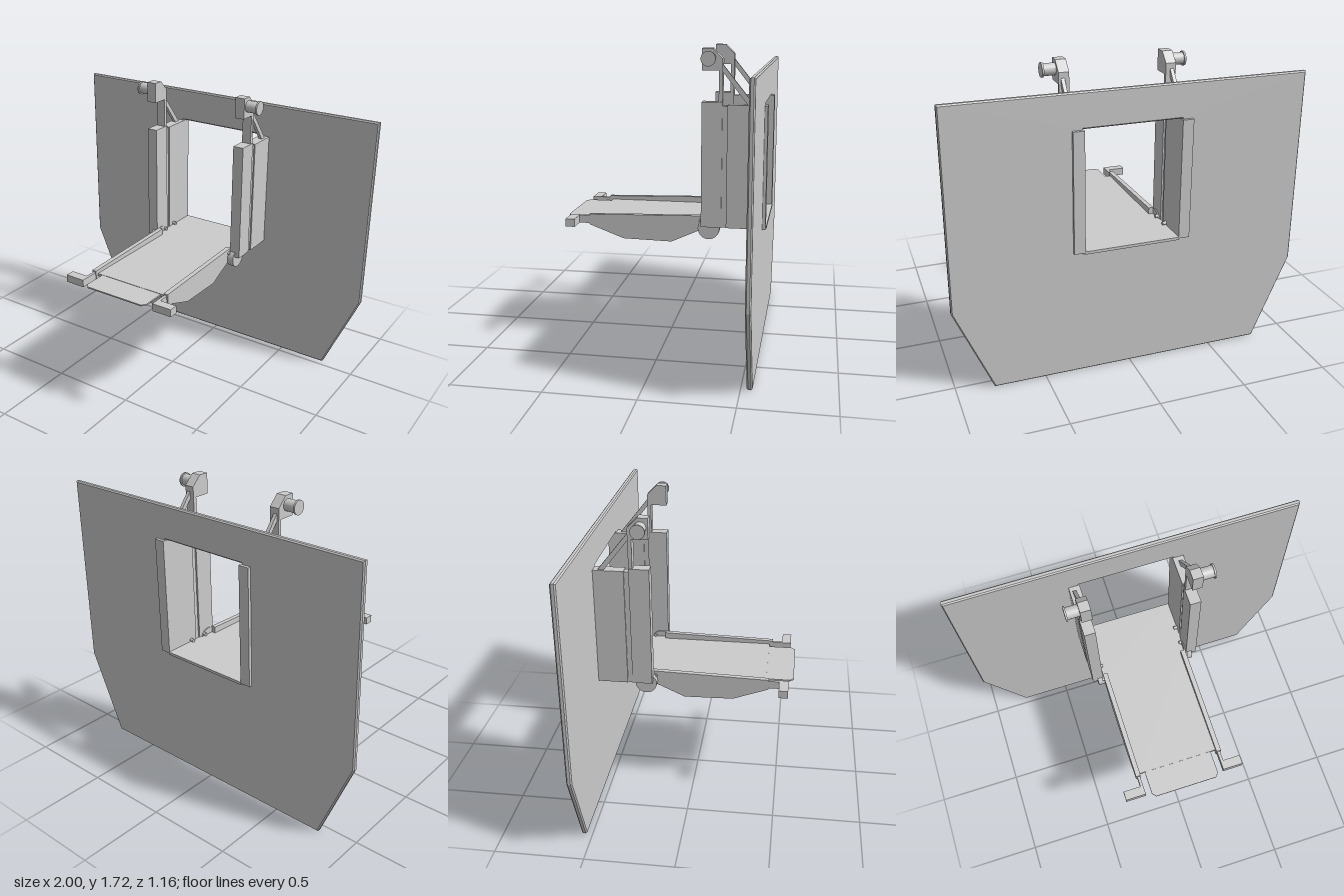
import * as THREE from 'three';

const mat = new THREE.MeshStandardMaterial({ color: 0xcccccc, flatShading: false });

function add(parent, name, geo) {
  const m = new THREE.Mesh(geo, mat);
  m.name = name;
  parent.add(m);
  return m;
}

// Box given by its extents on each axis
function box(parent, name, x0, x1, y0, y1, z0, z1) {
  const m = add(parent, name, new THREE.BoxGeometry(x1 - x0, y1 - y0, z1 - z0));
  m.position.set((x0 + x1) / 2, (y0 + y1) / 2, (z0 + z1) / 2);
  return m;
}

// Cylinder lying along x
function rod(parent, name, x0, x1, y, z, r, seg = 28) {
  const m = add(parent, name, new THREE.CylinderGeometry(r, r, x1 - x0, seg));
  m.rotation.z = Math.PI / 2;
  m.position.set((x0 + x1) / 2, y, z);
  return m;
}

const outline = (pts) => new THREE.Shape(pts.map(([a, b]) => new THREE.Vector2(a, b)));

// Side profile of [z, y] points, extruded along x
function profile(parent, name, pts, x0, x1) {
  const geo = new THREE.ExtrudeGeometry(outline(pts.map(([z, y]) => [-z, y])), { depth: x1 - x0, bevelEnabled: false });
  geo.rotateY(Math.PI / 2);
  geo.translate(x0, 0, 0);
  return add(parent, name, geo);
}

// Everything that repeats left and right; s = 1 is left, -1 is right
function buildSide(s) {
  const g = new THREE.Group();
  g.name = s > 0 ? 'leftSide' : 'rightSide';
  const span = (a, b) => (s > 0 ? [a, b] : [-b, -a]);
  const sBox = (name, a, b, ...r) => box(g, name, ...span(a, b), ...r);
  const sRod = (name, a, b, ...r) => rod(g, name, ...span(a, b), ...r);
  const sProfile = (name, pts, a, b) => profile(g, name, pts, ...span(a, b));

  // Door frame cheek, joint strip and front column
  sBox('frameCheek', 0.27, 0.333, 0.735, 1.415, -0.58, -0.362);
  sBox('jointStrip', 0.278, 0.325, 0.735, 1.41, -0.362, -0.335);
  sBox('column', 0.268, 0.332, 0.735, 1.43, -0.335, -0.222);

  // Post, head block and diagonal strut
  sBox('post', 0.272, 0.328, 1.43, 1.61, -0.335, -0.314);
  sProfile('headBlock', [[-0.222, 1.598], [-0.335, 1.598], [-0.335, 1.66], [-0.28, 1.716], [-0.222, 1.716]], 0.272, 0.33);
  sProfile('strut', [[-0.33, 1.635], [-0.33, 1.595], [-0.475, 1.41], [-0.51, 1.41]], 0.297, 0.317);

  // Spool pin on the head
  sRod('pinShaft', 0.33, 0.4, 1.664, -0.265, 0.033);
  sRod('pinFlange', 0.396, 0.406, 1.664, -0.265, 0.04);

  // Hinge disc and ramp rail
  sRod('hingeDisc', 0.262, 0.302, 0.72, -0.262, 0.061, 36);
  sProfile('rampRail', [[-0.235, 0.782], [-0.235, 0.695], [-0.2, 0.695], [-0.045, 0.624], [0.235, 0.63], [0.437, 0.705], [0.437, 0.765]], 0.236, 0.264);

  // Handle: forward arm and outward foot
  sBox('handleArm', 0.24, 0.257, 0.71, 0.755, 0.43, 0.548);
  sBox('handleFoot', 0.24, 0.36, 0.71, 0.755, 0.497, 0.55);

  // Small hinge knobs beside the floor
  for (const z of [-0.405, -0.3, -0.212]) sRod('hingeKnob', 0.248, 0.275, 0.755, z, 0.01, 12);
  return g;
}

export function createModel() {
  const model = new THREE.Group();
  model.name = 'wallWithRamp';

  // Wall plate with tapered foot and doorway
  const wall = outline([[-0.79, 0], [0.79, 0], [1, 0.49], [1, 1.613], [-1, 1.613], [-1, 0.49]]);
  wall.holes.push(new THREE.Path([[-0.272, 0.728], [-0.272, 1.418], [0.272, 1.418], [0.272, 0.728]].map(([x, y]) => new THREE.Vector2(x, y))));
  const b = 0.007;
  const wallGeo = new THREE.ExtrudeGeometry(wall, {
    depth: 0.03 - 2 * b, bevelEnabled: true, bevelSize: b, bevelThickness: b, bevelOffset: -b, bevelSegments: 1,
  });
  wallGeo.translate(0, 0, -0.562 + b);
  add(model, 'wallPlate', wallGeo);

  // Doorway floor, ramp deck and cross axle
  box(model, 'doorwayFloor', -0.272, 0.272, 0.728, 0.744, -0.583, -0.235);
  box(model, 'rampDeck', -0.24, 0.24, 0.728, 0.744, -0.235, 0.42);
  rod(model, 'axle', -0.264, 0.264, 0.7, -0.255, 0.029);

  // Tongue with clipped corners
  const tongue = new THREE.ExtrudeGeometry(
    outline([[-0.205, -0.4], [-0.205, -0.555], [-0.185, -0.578], [0.185, -0.578], [0.205, -0.555], [0.205, -0.4]]),
    { depth: 0.008, bevelEnabled: false });
  tongue.rotateX(-Math.PI / 2);
  tongue.translate(0, 0.734, 0);
  add(model, 'rampTongue', tongue);

  model.add(buildSide(1), buildSide(-1));
  return model;
}
